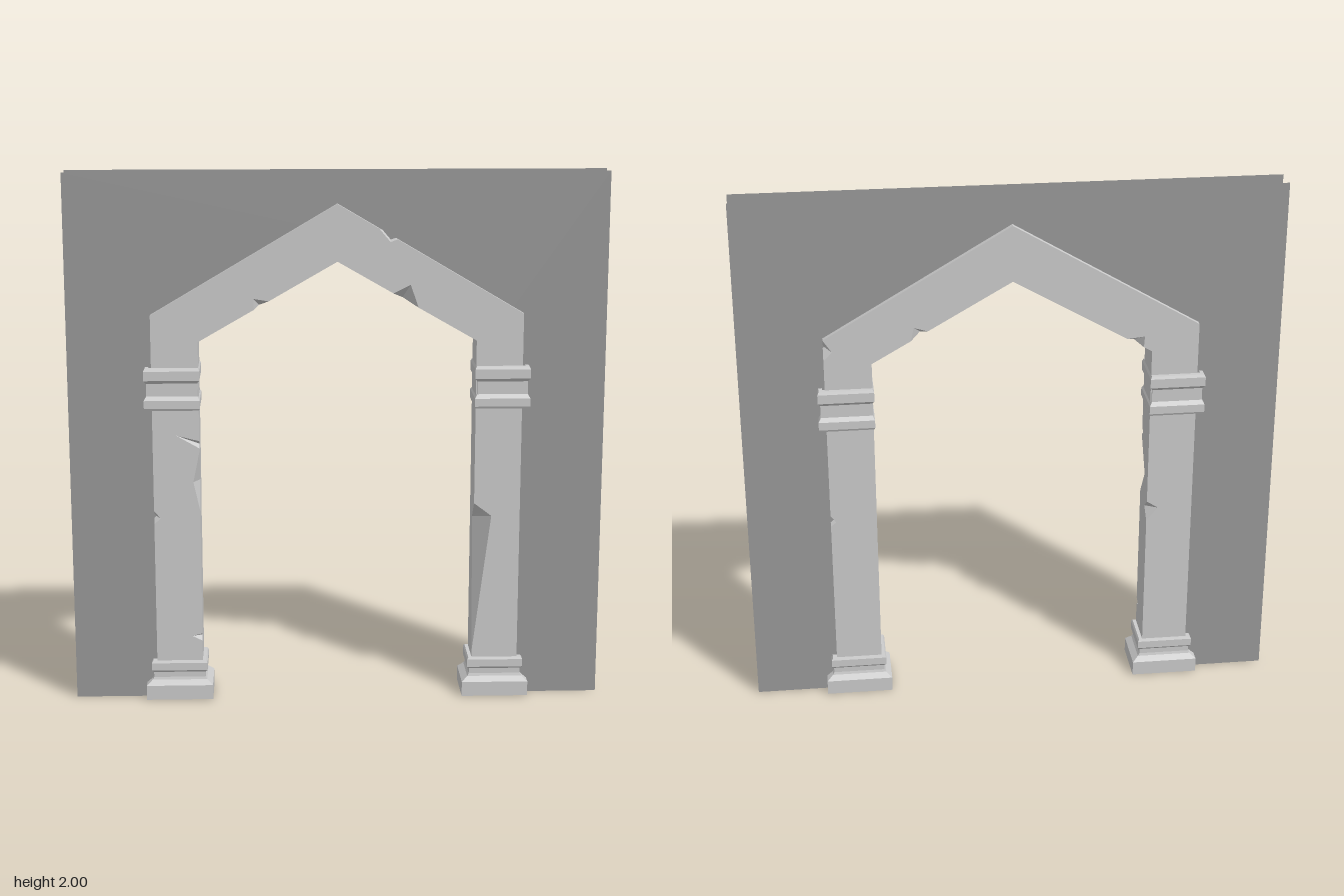
import * as THREE from 'three';

const stone = new THREE.MeshStandardMaterial({ color: 0xcccccc, flatShading: true, side: THREE.DoubleSide });
const plaster = new THREE.MeshStandardMaterial({ color: 0x999999, side: THREE.DoubleSide });

// Skin a list of closed rings (equal point counts) with flat quads
function loft(name, rings) {
  const pos = [];
  const tri = (a, b, c) => {
    const area = b.clone().sub(a).cross(c.clone().sub(a)).length();
    if (area > 1e-8) for (const p of [a, b, c]) pos.push(p.x, p.y, p.z);
  };
  for (let i = 0; i + 1 < rings.length; i++) {
    const n = rings[i].length;
    for (let j = 0; j < n; j++) {
      const k = (j + 1) % n;
      tri(rings[i][j], rings[i][k], rings[i + 1][k]);
      tri(rings[i][j], rings[i + 1][k], rings[i + 1][j]);
    }
  }
  const geo = new THREE.BufferGeometry();
  geo.setAttribute('position', new THREE.Float32BufferAttribute(pos, 3));
  geo.computeVertexNormals();
  const mesh = new THREE.Mesh(geo, stone);
  mesh.name = name;
  return mesh;
}

// Rectangular moulding from a profile of [y, half width, half depth]
function moulding(name, x, profile) {
  return loft(name, profile.map(([y, w, d]) =>
    [[-1, 1], [1, 1], [1, -1], [-1, -1]].map(([a, b]) => new THREE.Vector3(x + a * w, y, b * d))));
}

// Outer and inner outline of the pointed frame, from left foot to right foot
const OUTER = [[-0.687, 0], [-0.687, 1.48], [0, 1.885], [0.687, 1.48], [0.687, 0]];
const INNER = [[-0.514, 0], [-0.514, 1.38], [0, 1.675], [0.514, 1.38], [0.514, 0]];
const HALF = 0.07;

// Corners: 0 outer front, 1 inner front, 2 inner back, 3 outer back
// Chips: [corner, start, deepest, end, share of face width, depth in z];
// positions count the four straight runs of the frame
const CHIPS = [
  [1, 0.165, 0.176, 0.186, 0.22, 0.03],
  [1, 0.535, 0.61, 0.7, 0.14, 0.08],
  [1, 0.71, 0.72, 0.73, 0.5, 0.02],
  [0, 0.465, 0.485, 0.5, 0.14, 0.03],
  [2, 0.49, 0.52, 0.55, 0.25, 0.05],
  [1, 1.4, 1.44, 1.51, 0.2, 0.05],
  [2, 1.06, 1.12, 1.18, 0.22, 0.04],
  [0, 2.22, 2.29, 2.32, 0.12, 0.07],
  [1, 2.4, 2.47, 2.58, 0.33, 0.045],
  [2, 2.6, 2.65, 2.72, 0.22, 0.04],
  [3, 3.0, 3.02, 3.055, 0.18, 0.025],
  [3, 3.48, 3.495, 3.51, 0.12, 0.06],
  [1, 3.45, 3.5, 3.87, 0.38, 0.07],
];

function frame() {
  const stations = [0, 1, 2, 3, 4, ...CHIPS.flatMap(c => c.slice(1, 4))];
  const sorted = [...new Set(stations)].sort((a, b) => a - b);
  const at = (line, s) => {
    const i = Math.min(3, Math.floor(s));
    return new THREE.Vector3(...line[i], 0).lerp(new THREE.Vector3(...line[i + 1], 0), s - i);
  };
  const rings = sorted.map(s => {
    const o = at(OUTER, s), n = at(INNER, s), ring = [];
    const point = (u, z) => o.clone().lerp(n, u).setZ(z);
    for (let c = 0; c < 4; c++) {
      let w = 0, d = 0;
      for (const [corner, s0, s1, s2, cw, cd] of CHIPS) {
        if (corner !== c || s <= s0 || s >= s2) continue;
        const k = s < s1 ? (s - s0) / (s1 - s0) : (s2 - s) / (s2 - s1);
        w = Math.max(w, k * cw);
        d = Math.max(d, k * cd);
      }
      const inner = c === 1 || c === 2, front = c < 2;
      const across = point(inner ? 1 - w : w, front ? HALF : -HALF);
      const deep = point(inner ? 1 : 0, front ? HALF - d : d - HALF);
      ring.push(...(c % 2 ? [across, deep] : [deep, across]));
    }
    return ring;
  });
  return loft('archFrame', rings);
}

// Thin wall sheet with a pointed doorway whose edge is hidden in the frame
function wallSheet(name, z) {
  const outline = [[-0.997, 0], [-0.6, 0], [-0.6, 1.43], [0, 1.78], [0.6, 1.43], [0.6, 0],
    [0.997, 0], [0.997, 2], [-0.997, 2]];
  const geo = new THREE.ShapeGeometry(new THREE.Shape(outline.map(p => new THREE.Vector2(...p))));
  if (z < 0) geo.rotateY(Math.PI);
  geo.translate(0, 0, z);
  const mesh = new THREE.Mesh(geo, plaster);
  mesh.name = name;
  return mesh;
}

export function createModel() {
  const model = new THREE.Group();
  model.name = 'archedDoorway';
  model.add(wallSheet('frontWall', 0.049), wallSheet('backWall', -0.049), frame());

  const base = [[0, 0.126, 0.093], [0.056, 0.126, 0.093], [0.075, 0.104, 0.077], [0.085, 0.098, 0.074],
    [0.105, 0.098, 0.074], [0.113, 0.106, 0.081], [0.142, 0.106, 0.081], [0.15, 0.101, 0.077], [0.15, 0.08, 0.065]];
  const capital = [[1.127, 0.09, 0.065], [1.127, 0.1, 0.087], [1.135, 0.103, 0.091], [1.165, 0.103, 0.091],
    [1.18, 0.094, 0.08], [1.228, 0.094, 0.08], [1.24, 0.103, 0.091], [1.275, 0.103, 0.091],
    [1.285, 0.098, 0.086], [1.285, 0.085, 0.065]];
  for (const [side, s] of [['left', 1], ['right', -1]]) {
    model.add(moulding(side + 'Base', s * 0.602, base), moulding(side + 'Capital', s * 0.612, capital));
  }
  return model;
}
